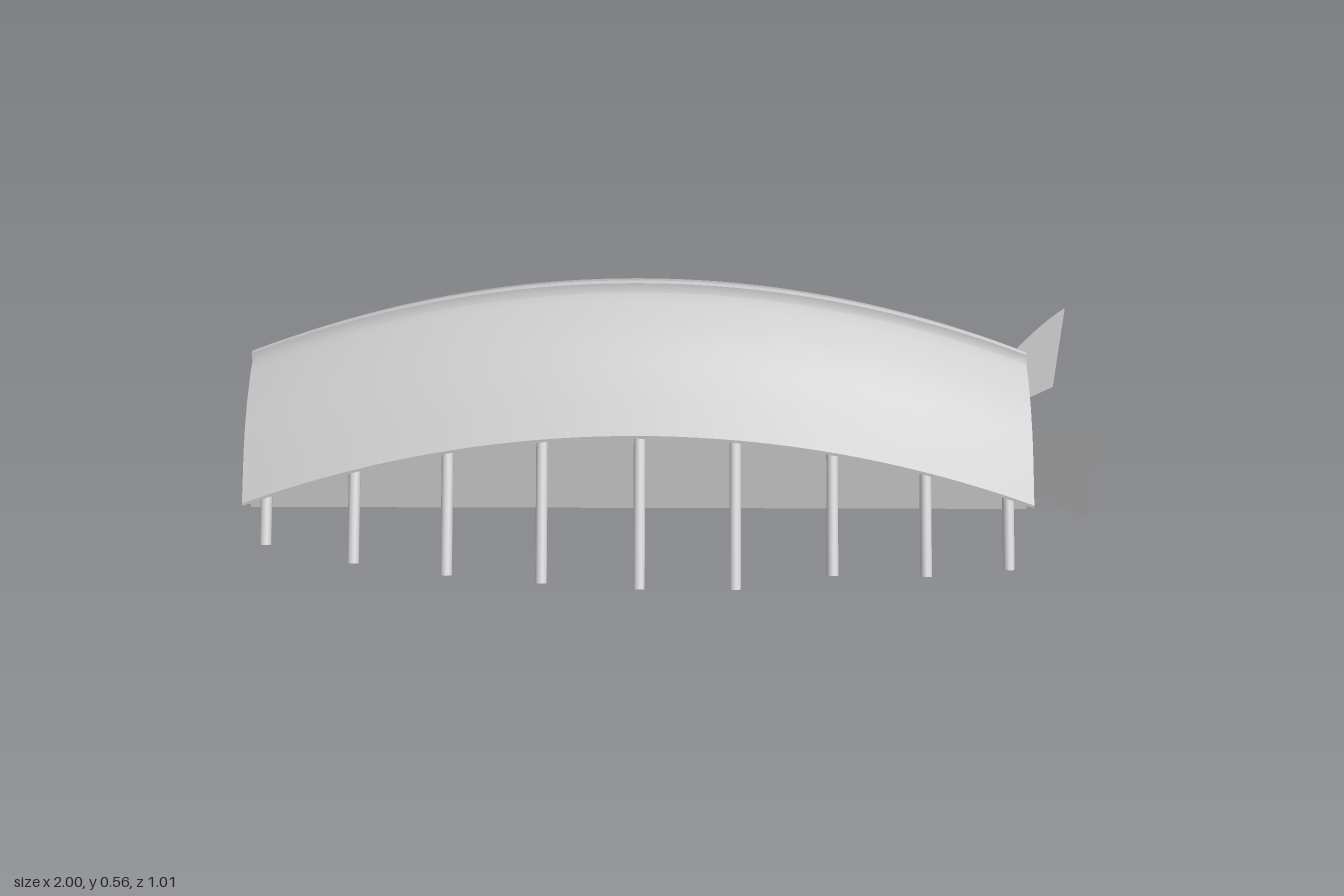
import * as THREE from 'three';
import { toCreasedNormals } from 'three/addons/utils/BufferGeometryUtils.js';

const X0 = -1, X1 = 0.86, LENGTH = X1 - X0, MID = (X0 + X1) / 2;
const FLOOR = 0.06, WALL_Z = 0.225, RISE = 0.205;

const material = new THREE.MeshStandardMaterial({ color: 0xcccccc });
const thin = new THREE.MeshStandardMaterial({ color: 0xcccccc, side: THREE.DoubleSide });

function add(parent, name, geometry, mat = material) {
  const mesh = new THREE.Mesh(geometry, mat);
  mesh.name = name;
  parent.add(mesh);
  return mesh;
}

// Extra height of the bowed roof at a position along the house
const arch = (x) => RISE * (1 - ((x - MID) / (LENGTH / 2)) ** 2);

// Half of the roof section at the gable, from eave to ridge: (z, y)
const halfCurve = new THREE.SplineCurve([
  [0.295, 0.13], [0.2, 0.227], [0.13, 0.28], [0.075, 0.31], [0.03, 0.33], [0, 0.335],
].map(([z, y]) => new THREE.Vector2(z, y)));
const half = halfCurve.getPoints(16);

// Full section line from one side to the other, lowered by a given amount
function sectionLine(points, drop) {
  const right = points.map((p) => new THREE.Vector2(p.x, p.y - drop));
  const left = points.slice(0, -1).reverse().map((p) => new THREE.Vector2(-p.x, p.y - drop));
  return [...right, ...left];
}

// Sweep a section along the house, lifting everything above the floor by the arch
function sweep(points) {
  const geometry = new THREE.ExtrudeGeometry(new THREE.Shape(points), {
    depth: LENGTH, steps: 40, bevelEnabled: false,
  });
  geometry.rotateY(Math.PI / 2).translate(X0, 0, 0);
  const pos = geometry.attributes.position;
  for (let i = 0; i < pos.count; i++) {
    if (pos.getY(i) > FLOOR + 0.01) pos.setY(i, pos.getY(i) + arch(pos.getX(i)));
  }
  return toCreasedNormals(geometry, 0.5);
}

export function createModel() {
  const house = new THREE.Group();
  house.name = 'longhouse';

  // Roof shell
  add(house, 'roof', sweep([...sectionLine(half, 0), ...sectionLine(half, 0.008).reverse()]));

  // Walls, gables and floor in one closed body under the roof
  const wallTop = new THREE.Vector2(WALL_Z, 0.203);
  const inner = [wallTop, ...half.filter((p) => p.x < WALL_Z - 0.005)];
  add(house, 'walls', sweep([
    new THREE.Vector2(WALL_Z, FLOOR),
    ...sectionLine(inner, 0.005),
    new THREE.Vector2(-WALL_Z, FLOOR),
  ]));

  // Ridge beam with a flared foot
  const ridge = [[0.014, 0.33], [0.007, 0.342], [0.006, 0.356]];
  add(house, 'ridgeBeam', sweep([
    ...ridge.map(([z, y]) => new THREE.Vector2(z, y)),
    ...ridge.slice().reverse().map(([z, y]) => new THREE.Vector2(-z, y)),
  ]));

  // Slanted support posts: x, foot z, foot y
  const posts = [
    [-0.945, 0.35, 0.05], [-0.73, 0.415, 0.05], [-0.51, 0.455, 0.05],
    [-0.29, 0.48, 0.05], [-0.065, 0.495, 0.046], [0.155, 0.495, 0.046],
    [0.38, 0.457, 0.055], [0.6, 0.432, 0.029], [0.8, 0.387, 0.01],
  ];
  const up = new THREE.Vector3(0, 1, 0);
  for (const side of [1, -1]) {
    for (const [x, z, y] of posts) {
      const topZ = WALL_Z - 0.008;
      const foot = new THREE.Vector3(x, y, side * z);
      const top = new THREE.Vector3(x, y + (z - topZ) * 1.14, side * topZ);
      const axis = top.clone().sub(foot);
      const post = add(house, 'post', new THREE.CylinderGeometry(0.0135, 0.0135, axis.length(), 14));
      post.position.copy(foot).add(top).multiplyScalar(0.5);
      post.quaternion.setFromUnitVectors(up, axis.normalize());
    }
  }

  // Open door leaves, hinged on the gable and rising to the free edge
  const leafWidth = Math.hypot(0.14, 0.095);
  const leaf = new THREE.Shape();
  leaf.moveTo(0, 0.063);
  leaf.lineTo(leafWidth, 0.063);
  leaf.lineTo(leafWidth, 0.312);
  leaf.quadraticCurveTo(leafWidth * 0.5, 0.295, 0, 0.235);
  for (const side of [1, -1]) {
    const door = add(house, 'door', new THREE.ShapeGeometry(leaf, 10), thin);
    door.position.set(X1, 0, side * 0.165);
    door.rotation.y = -side * Math.atan2(0.095, 0.14);
  }

  return house;
}
